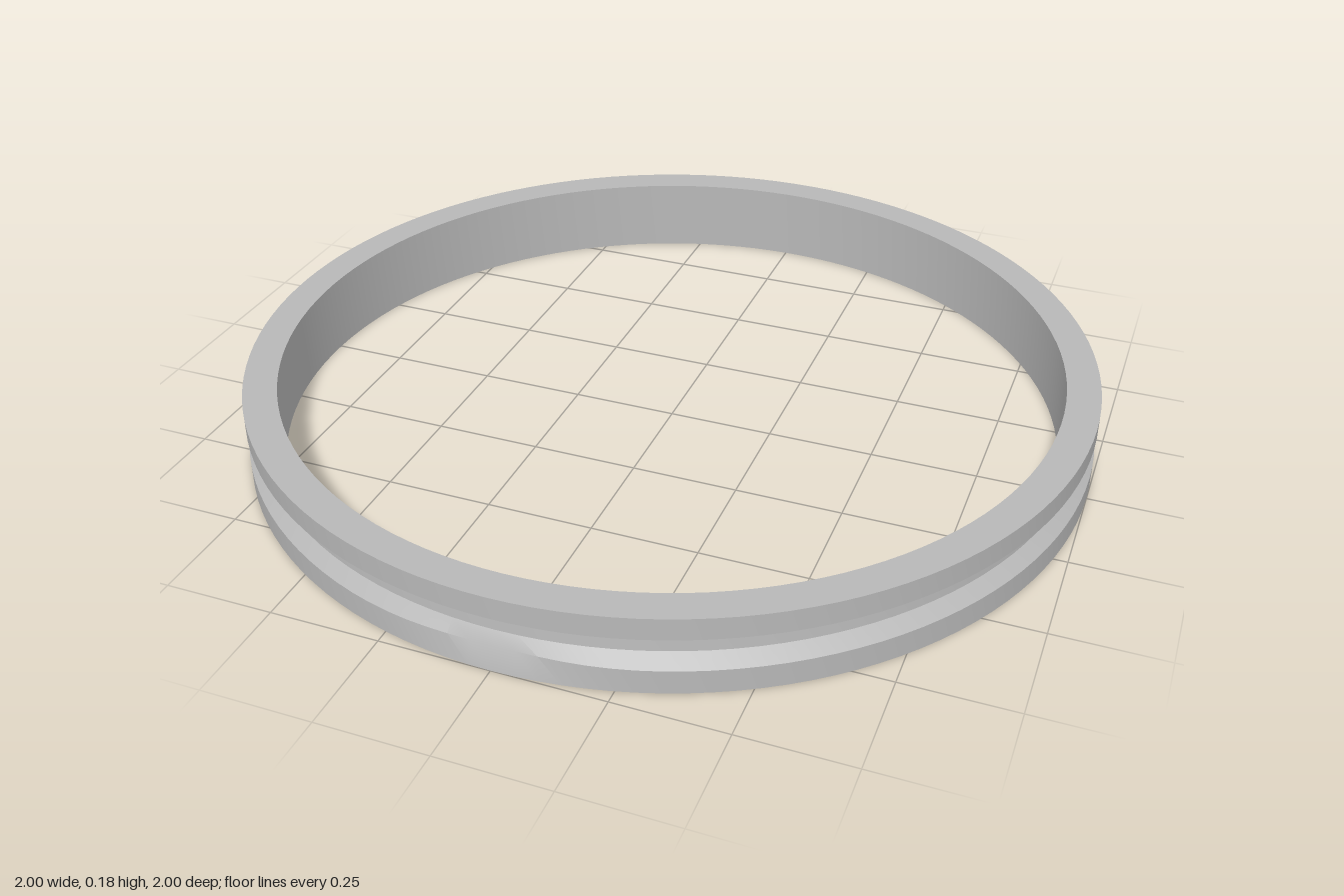
import * as THREE from 'three';
import { toCreasedNormals } from 'three/addons/utils/BufferGeometryUtils.js';

export function createModel() {
  const model = new THREE.Group();
  const metal = new THREE.MeshStandardMaterial({ color: 0xb8b8b8 });
  metal.name = 'grey metal';

  // Closed band section: bottom face, lower lip, groove, upper lip, top face, bore
  const lipY = 0.055;
  const profile = [
    [0.922, 0], [1, 0], [1, lipY], [0.97, 0.08], [0.967, 0.108],
    [1, 0.132], [1, 0.183], [0.922, 0.183], [0.922, 0],
  ].map(([r, y]) => new THREE.Vector2(r, y));
  const band = new THREE.LatheGeometry(profile, 128);

  // Worn lower lip: it slopes into the groove around the front, back and right
  const pos = band.attributes.position;
  for (let i = 0; i < pos.count; i++) {
    if (Math.abs(pos.getY(i) - lipY) > 0.001) continue;
    const x = pos.getX(i), z = pos.getZ(i);
    const wear = Math.pow(Math.min(1, Math.max(-x, Math.abs(z), 0)), 60);
    const s = 1 - 0.012 * wear;
    pos.setXYZ(i, x * s, lipY, z * s);
  }

  const ring = new THREE.Mesh(toCreasedNormals(band, 0.5), metal);
  ring.name = 'groovedRing';
  model.add(ring);
  return model;
}
